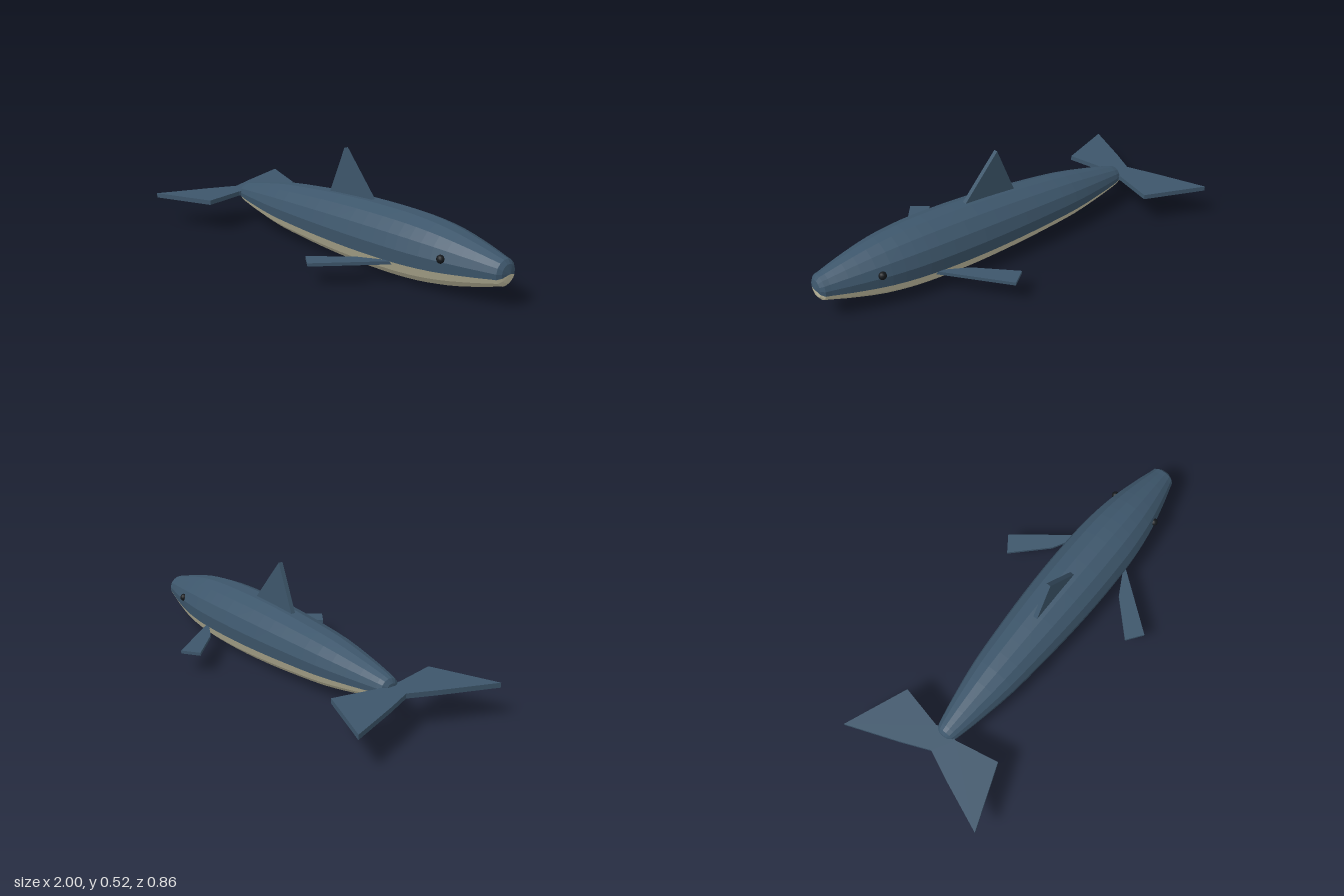
import * as THREE from 'three';

const AXIS_Y = 0.154;
const rad = THREE.MathUtils.degToRad;

export function createModel() {
  const group = new THREE.Group();
  const blue = new THREE.MeshStandardMaterial({ color: 0x3d566b, flatShading: true });
  const cream = new THREE.MeshStandardMaterial({ color: 0xcbc6a8, flatShading: true });
  const black = new THREE.MeshStandardMaterial({ color: 0x14181c });

  const add = (name, geometry, material) => {
    const mesh = new THREE.Mesh(geometry, material);
    mesh.name = name;
    group.add(mesh);
    return mesh;
  };

  // Body outline: radius against length, with rounded tail and nose ends
  const stations = [
    [0.053, -0.715], [0.077, -0.6], [0.111, -0.4], [0.130, -0.2], [0.144, 0],
    [0.152, 0.2], [0.152, 0.4], [0.145, 0.55], [0.126, 0.7], [0.092, 0.85], [0.064, 0.95],
  ].map(([r, x]) => new THREE.Vector2(r, x));
  const profile = [
    new THREE.Vector2(0, -0.757), new THREE.Vector2(0.026, -0.754), new THREE.Vector2(0.045, -0.74),
    ...new THREE.SplineCurve(stations).getPoints(24),
    new THREE.Vector2(0.058, 0.975), new THREE.Vector2(0.04, 0.99), new THREE.Vector2(0, 1),
  ];

  // The back and the belly are two wedges of the same lathe, meeting on the axis
  const wedge = (name, segments, start, length, material) => {
    const geometry = new THREE.LatheGeometry(profile, segments, rad(start), rad(length));
    geometry.rotateZ(-Math.PI / 2).scale(1, 1.02, 1.06).translate(0, AXIS_Y, 0);
    add(name, geometry, material);
  };
  wedge('back', 9, -198, 216, blue);
  wedge('belly', 7, 18, 144, cream);

  // Flat plate of the given outline, centred on its own thickness
  const plate = (points, thickness) => {
    const shape = new THREE.Shape(points.map(([x, y]) => new THREE.Vector2(x, y)));
    return new THREE.ExtrudeGeometry(shape, { depth: thickness, bevelEnabled: false })
      .translate(0, 0, -thickness / 2);
  };

  add('dorsalFin', plate([[-0.075, 0.25], [0.215, 0.25], [0.215, 0.303], [0.03, 0.52], [-0.075, 0.28]], 0.022), blue);

  // Horizontal fins: outlines in x and sideways distance, mirrored across the body
  const flipper = [[0.475, 0.1], [0.475, 0.14], [0.245, 0.43], [0.165, 0.372], [0.33, 0.21], [0.44, 0.15], [0.44, 0.1]];
  const fluke = [[-0.72, 0], [-0.735, 0.06], [-0.69, 0.277], [-1, 0.398], [-0.9, 0.14], [-0.84, 0]];
  for (const [side, s] of [['Left', -1], ['Right', 1]]) {
    const outline = (points) => points.map(([x, z]) => [x, -s * z]);
    add('flipper' + side, plate(outline(flipper), 0.015).rotateX(-Math.PI / 2).translate(0, 0.1, 0), blue);
    add('tailFluke' + side, plate(outline(fluke), 0.023).rotateX(-Math.PI / 2).translate(0, 0.155, 0), blue);
    add('eye' + side, new THREE.SphereGeometry(0.019, 12, 8), black).position.set(0.732, 0.178, s * 0.121);
  }
  return group;
}
